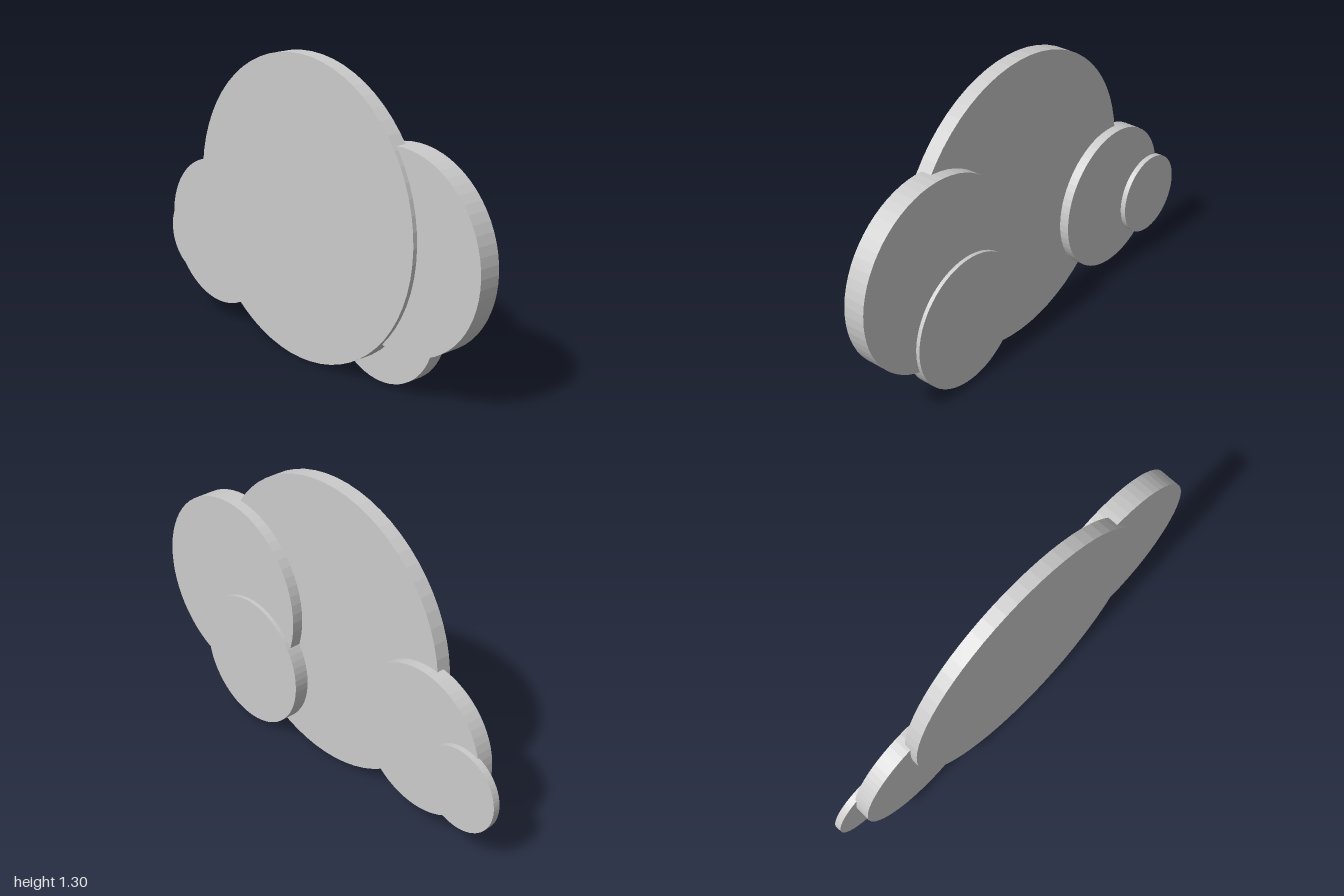
import * as THREE from 'three';

// Cloud made of overlapping upright discs: centre x, y, radius, back z, front z
const PUFFS = [
  ['mainPuff', 0.025, 0.651, 0.648, 0, 0.067],
  ['leftPuff', 0.582, 0.61, 0.416, -0.05, 0.047],
  ['lowerLeftPuff', 0.433, 0.313, 0.298, -0.067, 0],
  ['rightPuff', -0.567, 0.407, 0.327, -0.043, 0.032],
  ['smallRightPuff', -0.815, 0.315, 0.185, -0.067, -0.035],
];

export function createModel() {
  const cloud = new THREE.Group();
  cloud.name = 'cloud';
  const material = new THREE.MeshStandardMaterial({ color: 0xcccccc, flatShading: true });

  for (const [name, x, y, radius, back, front] of PUFFS) {
    // Disc turned so that its flat caps face front and back
    const geometry = new THREE.CylinderGeometry(radius, radius, front - back, 64);
    geometry.rotateX(Math.PI / 2);
    const puff = new THREE.Mesh(geometry, material);
    puff.name = name;
    puff.position.set(x, y, (back + front) / 2);
    cloud.add(puff);
  }
  return cloud;
}
